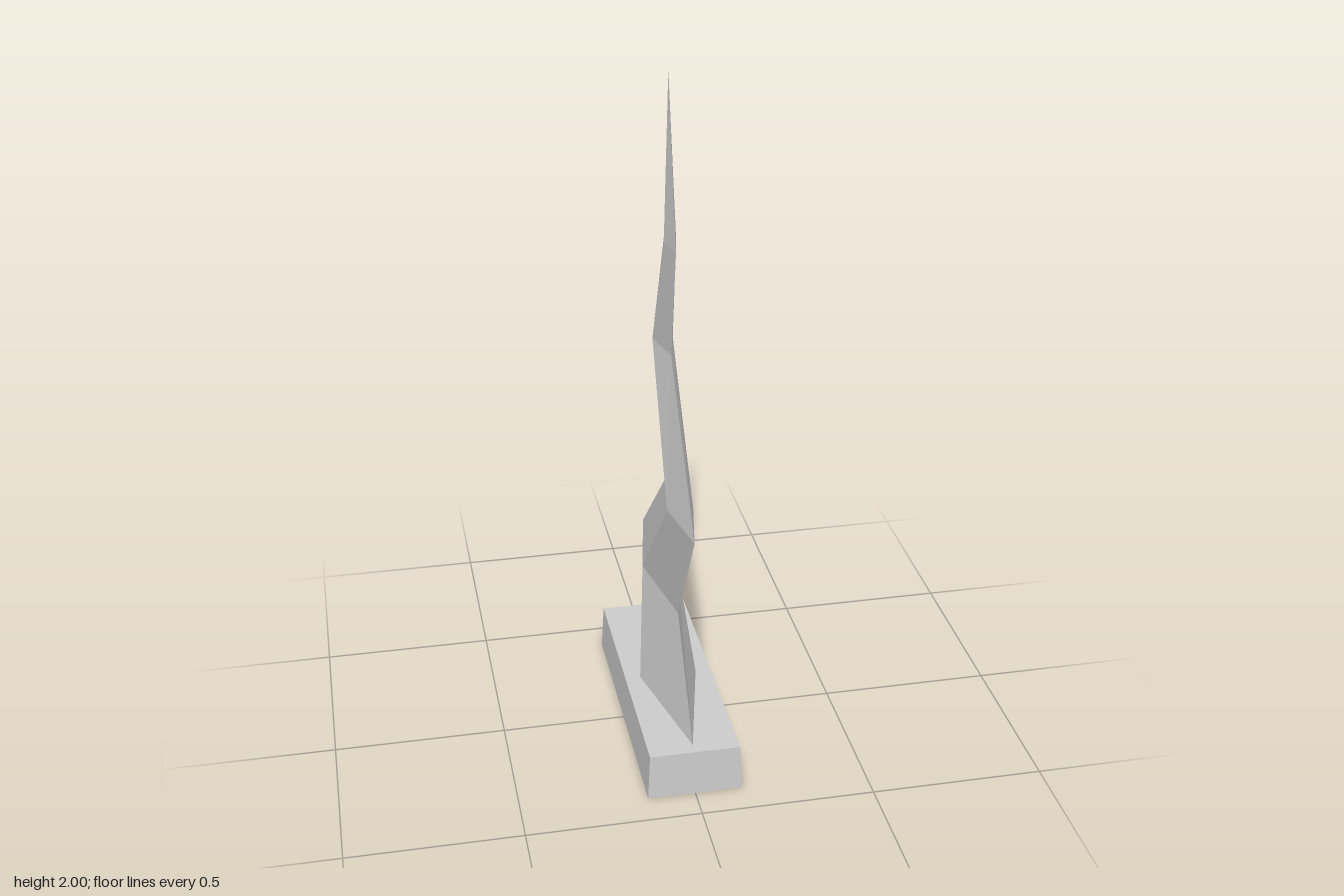
import * as THREE from 'three';

// Joins four-cornered rings (counter-clockwise from above, bottom to top) into a closed faceted solid.
function loft(name, rings) {
  const pos = [];
  const tri = (a, b, c) => {
    const area = new THREE.Triangle(a, b, c).getArea();
    if (area > 1e-8) for (const p of [a, b, c]) pos.push(p.x, p.y, p.z);
  };
  const quad = (a, b, c, d) => { tri(a, b, c); tri(a, c, d); };
  for (let r = 0; r < rings.length - 1; r++) {
    const lo = rings[r], hi = rings[r + 1];
    for (let i = 0; i < 4; i++) {
      const j = (i + 1) % 4;
      quad(lo[i], lo[j], hi[j], hi[i]);
    }
  }
  const first = rings[0], last = rings[rings.length - 1];
  quad(first[3], first[2], first[1], first[0]);
  quad(...last);
  const geometry = new THREE.BufferGeometry();
  geometry.setAttribute('position', new THREE.Float32BufferAttribute(pos, 3));
  geometry.computeVertexNormals();
  const mesh = new THREE.Mesh(geometry, new THREE.MeshStandardMaterial({ color: 0xcccccc, flatShading: true }));
  mesh.name = name;
  return mesh;
}

const V = (x, y, z) => new THREE.Vector3(x, y, z);
const rectangle = (y, hx, hz) => [V(-hx, y, hz), V(hx, y, hz), V(hx, y, -hz), V(-hx, y, -hz)];
const diamond = ([y, front, ridge, back, hx]) => [V(0, y, front), V(hx, y, ridge), V(0, y, back), V(-hx, y, ridge)];

export function createModel() {
  const group = new THREE.Group();
  group.name = 'zigzagBladeOnPlinth';

  // Slightly tapered plinth
  group.add(loft('plinth', [rectangle(0, 0.137, 0.405), rectangle(0.138, 0.13, 0.4)]));

  // Zigzag blade: height, front edge z, side ridge z, back edge z, half width
  const sections = [
    [0.138, 0.365, 0, -0.355, 0.085],
    [0.445, 0.15, -0.13, -0.405, 0.052],
    [0.8, 0.37, 0.175, -0.022, 0.037],
    [1.21, 0.048, -0.078, -0.2, 0.029],
    [1.535, 0.11, 0.028, -0.05, 0.017],
    [2, 0.005, 0.005, 0.005, 0],
  ];
  group.add(loft('blade', sections.map(diamond)));
  return group;
}
